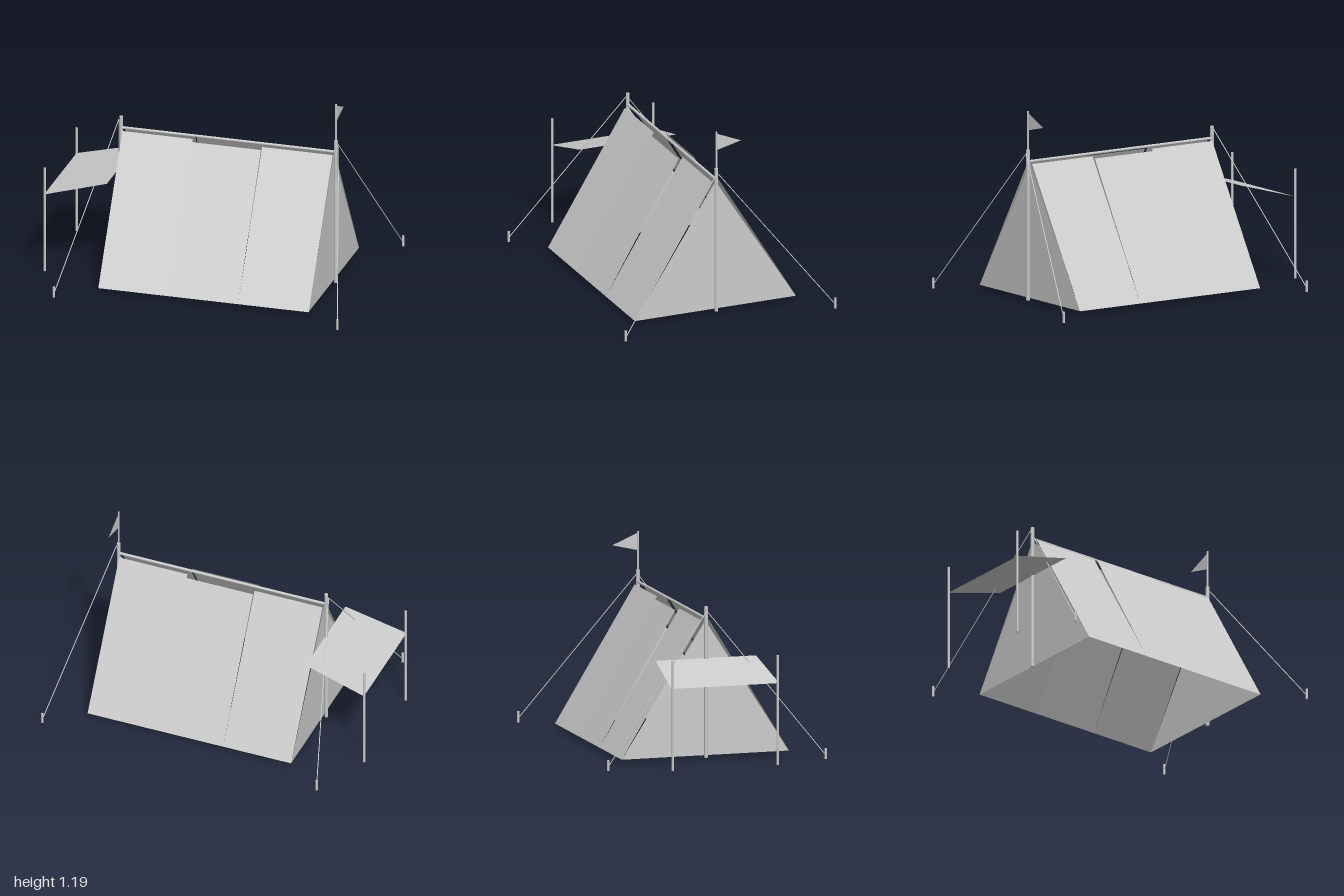
import * as THREE from 'three';

export function createModel() {
  const tent = new THREE.Group();
  tent.name = 'tent';
  const wood = new THREE.MeshStandardMaterial({ color: 0xcccccc });
  const cloth = new THREE.MeshStandardMaterial({ color: 0xcccccc, side: THREE.DoubleSide, flatShading: true });

  // Round rod between two points
  function rod(name, a, b, radius, sides = 8) {
    const from = new THREE.Vector3(...a), to = new THREE.Vector3(...b);
    const dir = to.clone().sub(from);
    const mesh = new THREE.Mesh(new THREE.CylinderGeometry(radius, radius, dir.length(), sides), wood);
    mesh.position.copy(from).add(to).multiplyScalar(0.5);
    mesh.quaternion.setFromUnitVectors(new THREE.Vector3(0, 1, 0), dir.normalize());
    mesh.name = name;
    tent.add(mesh);
  }

  // Thin flat sheet with three or four corners
  function sheet(name, corners) {
    const geo = new THREE.BufferGeometry();
    geo.setAttribute('position', new THREE.Float32BufferAttribute(corners.flat(), 3));
    geo.setIndex(corners.length === 4 ? [0, 1, 2, 0, 2, 3] : [0, 1, 2]);
    geo.computeVertexNormals();
    const mesh = new THREE.Mesh(geo, cloth);
    mesh.name = name;
    tent.add(mesh);
  }

  // Frame
  rod('rightTentPole', [-0.605, 0.01, 0], [-0.605, 0.95, 0], 0.012);
  rod('leftTentPole', [0.77, 0.01, 0], [0.77, 0.95, 0], 0.012);
  rod('ridgePole', [-0.605, 0.875, 0], [0.77, 0.875, 0], 0.009);
  rod('flagPole', [0.77, 0.93, 0], [0.77, 1.19, 0], 0.006);
  sheet('flag', [[0.77, 1.18, 0], [0.77, 1.07, 0], [0.77, 1.11, -0.165]]);

  // Roof slopes: three panels per side, the middle one standing proud at the top
  const panels = [
    ['roofPanelRight', -0.59, -0.14, 0.862, 0.025],
    ['roofPanelMiddle', -0.14, 0.305, 0.852, 0.05],
    ['roofPanelLeft', 0.305, 0.757, 0.862, 0.025],
  ];
  for (const s of [1, -1]) {
    for (const [name, x0, x1, topY, topZ] of panels) {
      const corners = [[x0, 0.022, s * 0.538], [x1, 0.022, s * 0.538], [x1, topY, s * topZ], [x0, topY, s * topZ]];
      sheet(name, s > 0 ? corners : corners.reverse());
    }
  }

  // Triangular end walls
  sheet('leftEndWall', [[0.755, 0.022, 0.537], [0.755, 0.022, -0.537], [0.755, 0.86, 0]]);
  sheet('rightEndWall', [[-0.59, 0.022, -0.537], [-0.59, 0.022, 0.537], [-0.59, 0.86, 0]]);

  // Awning
  sheet('awning', [[-0.995, 0.52, 0.347], [-0.6, 0.628, 0.323], [-0.6, 0.628, -0.323], [-0.995, 0.52, -0.347]]);

  // Mirrored awning poles, guy ropes and stakes
  for (const s of [1, -1]) {
    rod('awningPole', [-0.992, 0.01, s * 0.337], [-0.992, 0.693, s * 0.337], 0.008);
    for (const [topX, stakeX] of [[-0.62, -0.825], [0.785, 0.99]]) {
      rod('guyRope', [topX, 0.925, 0], [stakeX, 0.025, s * 0.7], 0.003, 6);
      rod('stake', [stakeX, 0, s * 0.7], [stakeX, 0.068, s * 0.7], 0.008);
    }
  }
  return tent;
}
